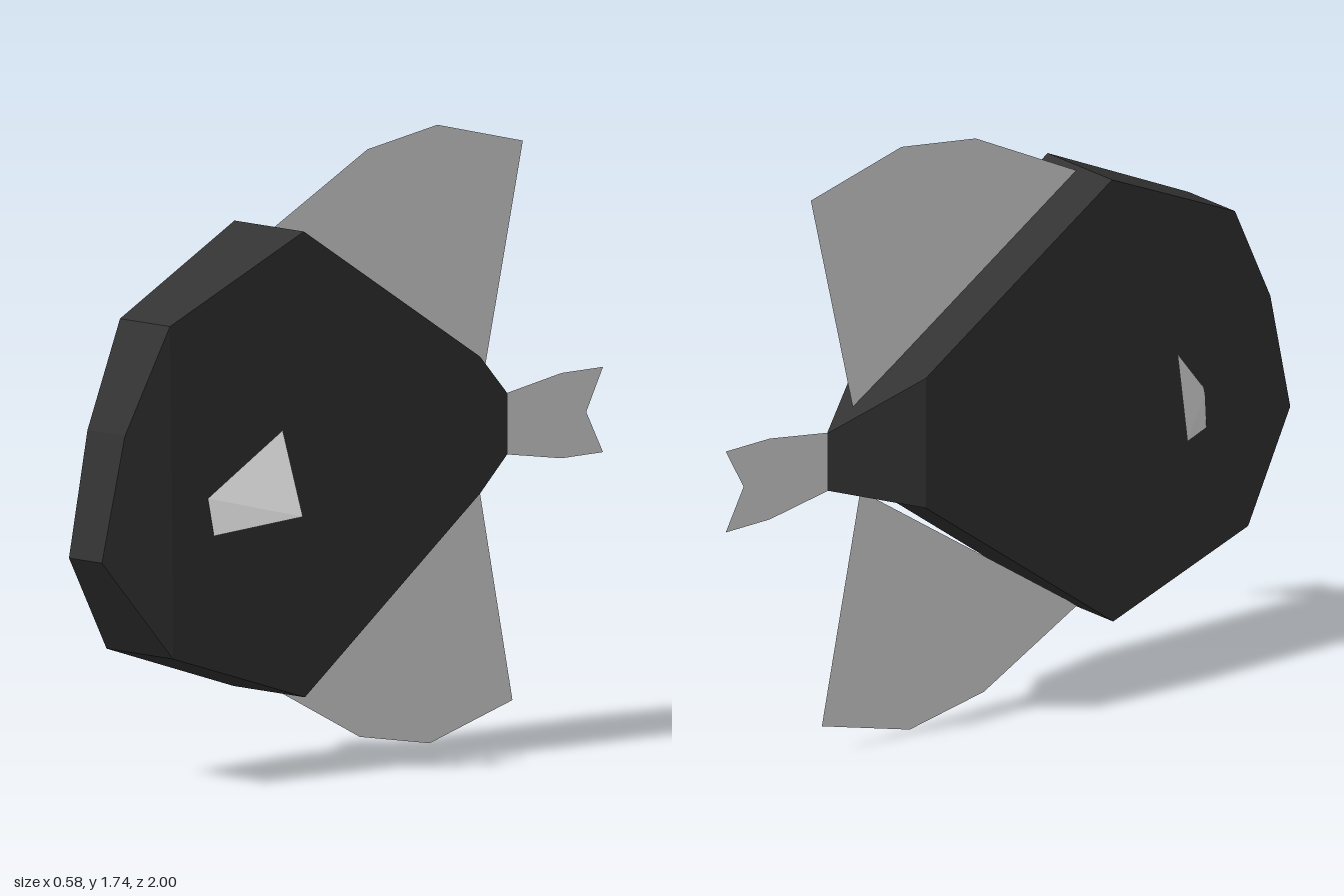
import * as THREE from 'three';

const bodyMat = new THREE.MeshStandardMaterial({ color: 0x333333 });
bodyMat.name = 'charcoal';
bodyMat.flatShading = true;
const finMat = new THREE.MeshStandardMaterial({ color: 0xe2e2e2 });
finMat.name = 'pale fin';
finMat.flatShading = true;
finMat.side = THREE.DoubleSide;

function facetGeometry(quads) {
  const pos = [];
  for (const [a, b, c, d] of quads) pos.push(...a, ...b, ...c, ...a, ...c, ...d);
  const g = new THREE.BufferGeometry();
  g.setAttribute('position', new THREE.Float32BufferAttribute(pos, 3));
  g.computeVertexNormals();
  return g;
}

// Flat fin in the x = 0 plane, outlined by [z, y] points
function flatFin(name, points) {
  const shape = new THREE.Shape(points.map(([z, y]) => new THREE.Vector2(-z, y)));
  const g = new THREE.ShapeGeometry(shape).rotateY(Math.PI / 2);
  const mesh = new THREE.Mesh(g, finMat);
  mesh.name = name;
  return mesh;
}

export function createModel() {
  const fish = new THREE.Group();
  fish.name = 'fish';

  // Body: stations from tail to nose, upper and lower edge as [z, y, half width]
  const stations = [
    [[-0.63, 0.955, 0.001], [-0.63, 0.785, 0.001]],
    [[-0.39, 1.10, 0.14], [-0.39, 0.715, 0.14]],
    [[0.29, 1.525, 0.139], [0.29, 0.215, 0.143]],
    [[0.77, 1.305, 0.10], [0.79, 0.375, 0.133]],
    [[0.92, 1.01, 0.075], [1.0, 0.66, 0.066]],
  ];
  const rings = stations.map(([[tz, ty, tw], [bz, by, bw]]) =>
    [[tw, ty, tz], [-tw, ty, tz], [-bw, by, bz], [bw, by, bz]]);
  const quads = [rings[rings.length - 1], [...rings[0]].reverse()];
  for (let i = 0; i < rings.length - 1; i++) {
    for (let j = 0; j < 4; j++) {
      const k = (j + 1) % 4;
      quads.push([rings[i][j], rings[i][k], rings[i + 1][k], rings[i + 1][j]]);
    }
  }
  const body = new THREE.Mesh(facetGeometry(quads), bodyMat);
  body.name = 'body';
  fish.add(body);

  // Fins along the centre line
  fish.add(
    flatFin('dorsalFin', [[0.28, 1.515], [-0.09, 1.70], [-0.36, 1.74], [-0.69, 1.66], [-0.535, 1.0]]),
    flatFin('analFin', [[0.28, 0.225], [-0.06, 0.05], [-0.33, 0.003], [-0.65, 0.09], [-0.51, 0.755]]),
    flatFin('tailFin', [[-0.62, 0.955], [-0.84, 0.99], [-1, 0.99], [-0.935, 0.87],
      [-1, 0.75], [-0.84, 0.75], [-0.62, 0.785]]),
  );

  // Side fins, mirrored
  for (const [side, s] of [['left', 1], ['right', -1]]) {
    const corners = [[0.122, 0.81, 0.645], [0.136, 0.705, 0.635], [0.288, 0.755, 0.438], [0.225, 0.993, 0.455]];
    const fin = new THREE.Mesh(facetGeometry([corners.map(([x, y, z]) => [s * x, y, z])]), finMat);
    fin.name = side + 'PectoralFin';
    fish.add(fin);
  }
  return fish;
}
